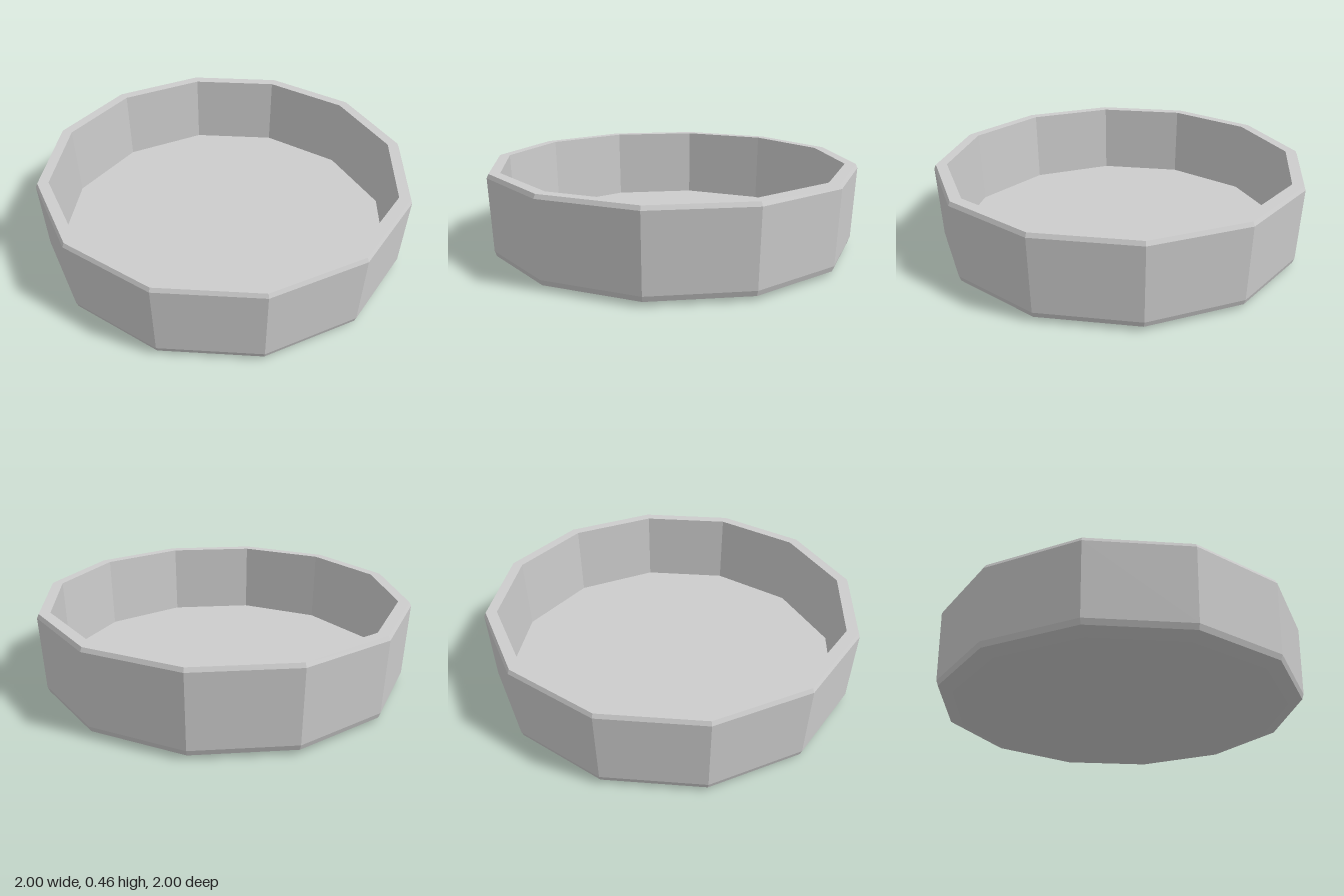
import * as THREE from 'three';

const SIDES = 12;

// Faceted ring swept around y from [radius, height] points
function facetedLathe(name, profile, material) {
  const points = profile.map(([r, y]) => new THREE.Vector2(r, y));
  const geometry = new THREE.LatheGeometry(points, SIDES).toNonIndexed();
  geometry.computeVertexNormals();
  const mesh = new THREE.Mesh(geometry, material);
  mesh.name = name;
  return mesh;
}

// Flat twelve-sided disc facing up or down
function disc(name, radius, y, facing, material) {
  const geometry = new THREE.CircleGeometry(radius, SIDES);
  geometry.rotateX(-facing * Math.PI / 2);
  const mesh = new THREE.Mesh(geometry, material);
  mesh.position.y = y;
  mesh.name = name;
  return mesh;
}

export function createModel() {
  const grey = new THREE.MeshStandardMaterial({ color: 0xcccccc });
  grey.name = 'plain grey';

  const dish = new THREE.Group();
  dish.name = 'dish';

  dish.add(
    // Bevelled foot, slightly flared outside, chamfered rim
    facetedLathe('outerWall', [
      [0.9, 0], [0.975, 0.022], [0.985, 0.05], [1, 0.435], [0.99, 0.456],
    ], grey),
    facetedLathe('rim', [[0.99, 0.456], [0.932, 0.456]], grey),
    // Inside wall, narrowing slightly to the floor
    facetedLathe('innerWall', [[0.932, 0.456], [0.92, 0.055]], grey),
    disc('floor', 0.92, 0.055, 1, grey),
    disc('underside', 0.9, 0, -1, grey),
  );
  return dish;
}
